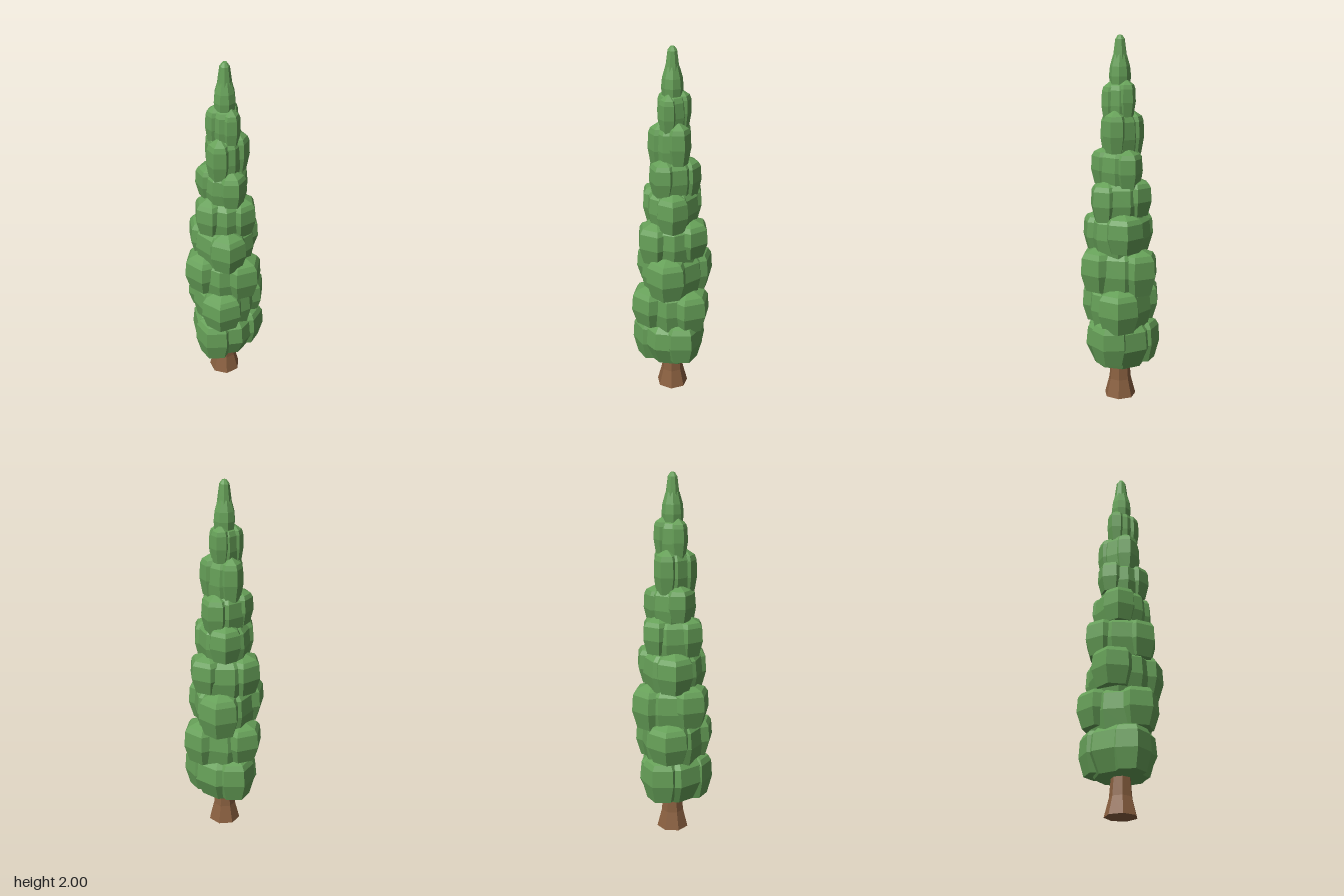
import * as THREE from 'three';

const leaf = new THREE.MeshStandardMaterial({ color: 0x66a058 });
leaf.name = 'leafGreen';
leaf.flatShading = true;
const bark = new THREE.MeshStandardMaterial({ color: 0x8a6040 });
bark.name = 'barkBrown';
bark.flatShading = true;

// Faceted solid of revolution; a corner points along the given angle (degrees from +x towards +z)
function facets(name, profile, sides, angle, material) {
  const points = profile.map(([r, y]) => new THREE.Vector2(r, y));
  const mesh = new THREE.Mesh(new THREE.LatheGeometry(points, sides), material);
  mesh.rotation.y = Math.PI / 2 - THREE.MathUtils.degToRad(angle);
  mesh.name = name;
  return mesh;
}

// Rounded clump: tapered underside, bulging waist, bevelled rim and a shallow peak
function clump(name, r, y0, y1, sides, angle, base) {
  const h = y1 - y0;
  const profile = [[0, y0], [r * base, y0], [r, y0 + h * 0.42], [r * 0.95, y0 + h * 0.8],
    [r * 0.8, y0 + h * 0.92], [0, y1 + h * 0.08]];
  return facets(name, profile, sides, angle, leaf);
}

export function createModel() {
  const tree = new THREE.Group();
  tree.name = 'tree';

  // Trunk with flared foot
  tree.add(facets('trunk', [[0, 0], [0.088, 0], [0.062, 0.1], [0.053, 0.2], [0.053, 0.26], [0, 0.26]], 7, 80, bark));

  // Foliage tiers: bottom, top, core radius, lobe reach, angle of first lobe
  const tiers = [
    [0.20, 0.46, 0.188, 0.222, -4],
    [0.42, 0.66, 0.178, 0.238, -25],
    [0.62, 0.87, 0.175, 0.232, 38],
    [0.83, 1.06, 0.168, 0.212, -39],
    [1.02, 1.24, 0.145, 0.182, 24],
    [1.20, 1.41, 0.125, 0.155, 60],
    [1.36, 1.60, 0.102, 0.130, -5],
    [1.55, 1.76, 0.078, 0.100, 50],
  ];
  tiers.forEach(([y0, y1, core, reach, angle], i) => {
    const tier = new THREE.Group();
    tier.name = `foliageTier${i + 1}`;
    tier.add(clump('core', core, y0, y1, 8, angle + 15, i ? 0.88 : 0.74));
    // Three hexagonal lobes around the core
    for (let k = 0; k < 3; k++) {
      const a = angle + k * 120;
      const t = THREE.MathUtils.degToRad(a);
      const r = reach * 0.52;
      const shift = [0.03, 0.0, 0.015][(k + i) % 3];
      const lobe = clump('lobe', r, y0 + shift, y1 - 0.01 + shift * 0.4, 6, a, 0.76);
      lobe.position.set(Math.cos(t) * (reach - r), 0, Math.sin(t) * (reach - r));
      tier.add(lobe);
    }
    tree.add(tier);
  });

  // Slender crown
  tree.add(facets('upperCrown', [[0, 1.68], [0.05, 1.7], [0.058, 1.79], [0.053, 1.84], [0.036, 1.9], [0, 1.91]], 8, 22, leaf));
  tree.add(facets('tip', [[0, 1.86], [0.04, 1.87], [0.034, 1.92], [0.026, 1.98], [0.012, 2], [0, 2]], 8, 0, leaf));

  tree.position.set(-0.007, 0, -0.003);
  const model = new THREE.Group();
  model.name = 'coniferTree';
  model.add(tree);
  return model;
}
